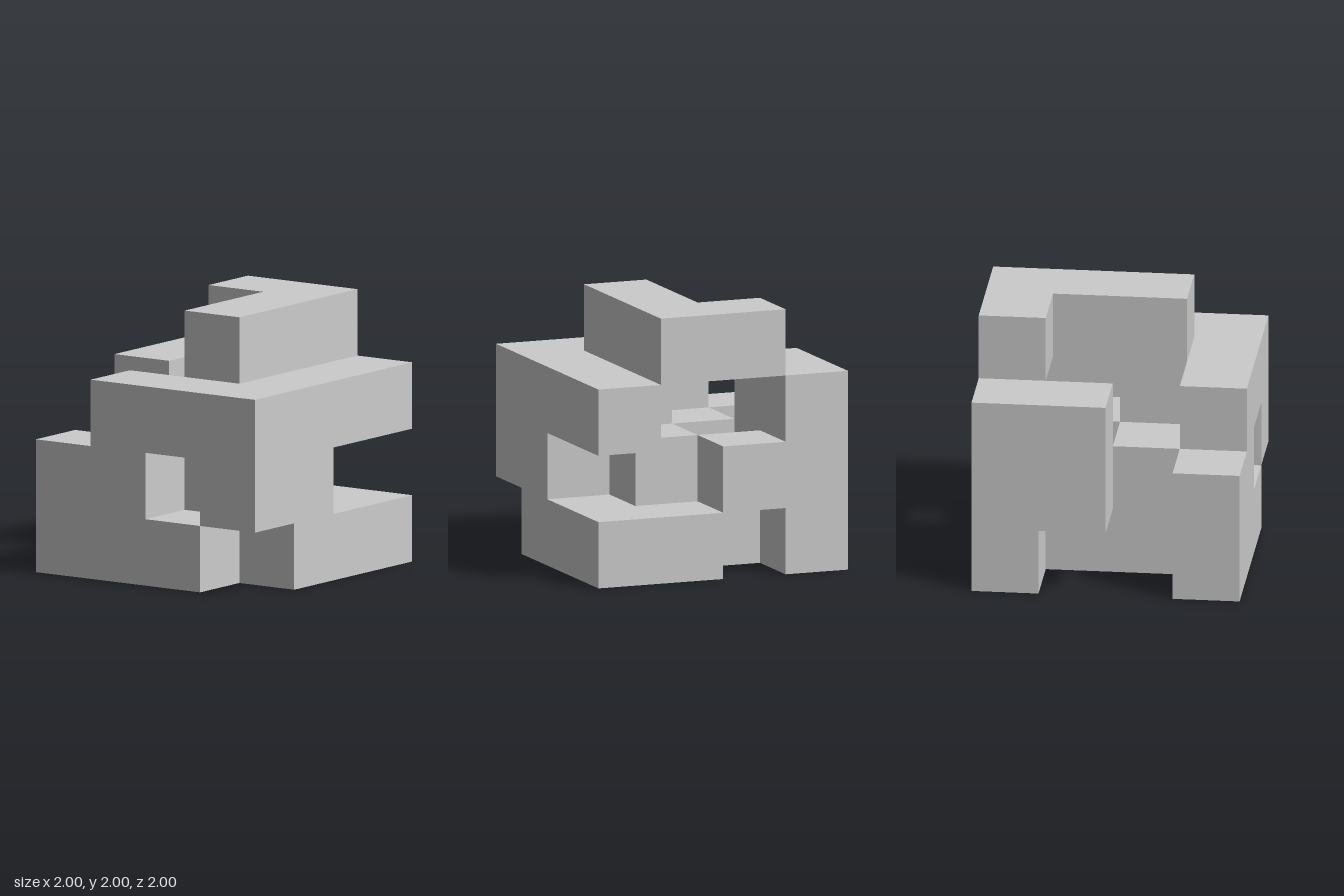
import * as THREE from 'three';
import { mergeGeometries } from 'three/addons/utils/BufferGeometryUtils.js';

const CELL = 0.5;

// Each layer is a plan seen from above: rows run back to front, columns run -x to +x
const LAYERS = [
  { name: 'baseLayer', plan: ['#.##', '.###', '.###', '###.'] },
  { name: 'lowerMiddleLayer', plan: ['##..', '#.#.', '.###', '##.#'] },
  { name: 'upperMiddleLayer', plan: ['#..#', '#..#', '..##', '.###'] },
  { name: 'topHook', plan: ['.##.', '..#.', '..#.', '....'] },
];

const SIDES = [[1, 0, 0], [-1, 0, 0], [0, 1, 0], [0, -1, 0], [0, 0, 1], [0, 0, -1]];
const filled = (x, y, z) => LAYERS[y]?.plan[z]?.[x] === '#';

// One square face on the given side of a cell
function cellFace(x, y, z, side) {
  const normal = new THREE.Vector3(...side);
  const face = new THREE.PlaneGeometry(CELL, CELL);
  face.applyQuaternion(new THREE.Quaternion().setFromUnitVectors(
    new THREE.Vector3(0, 0, 1), normal));
  const centre = new THREE.Vector3(x - 1.5, y + 0.5, z - 1.5).multiplyScalar(CELL);
  centre.addScaledVector(normal, CELL / 2);
  return face.translate(centre.x, centre.y, centre.z);
}

export function createModel() {
  const group = new THREE.Group();
  group.name = 'interlockingBlock';
  const material = new THREE.MeshStandardMaterial({ color: 0xcccccc, flatShading: true });

  // Build only the exposed faces, so the layers join into one closed solid
  LAYERS.forEach(({ name, plan }, y) => {
    const faces = [];
    plan.forEach((row, z) => [...row].forEach((mark, x) => {
      if (mark !== '#') return;
      for (const side of SIDES) {
        if (!filled(x + side[0], y + side[1], z + side[2])) faces.push(cellFace(x, y, z, side));
      }
    }));
    const mesh = new THREE.Mesh(mergeGeometries(faces), material);
    mesh.name = name;
    group.add(mesh);
  });
  return group;
}
